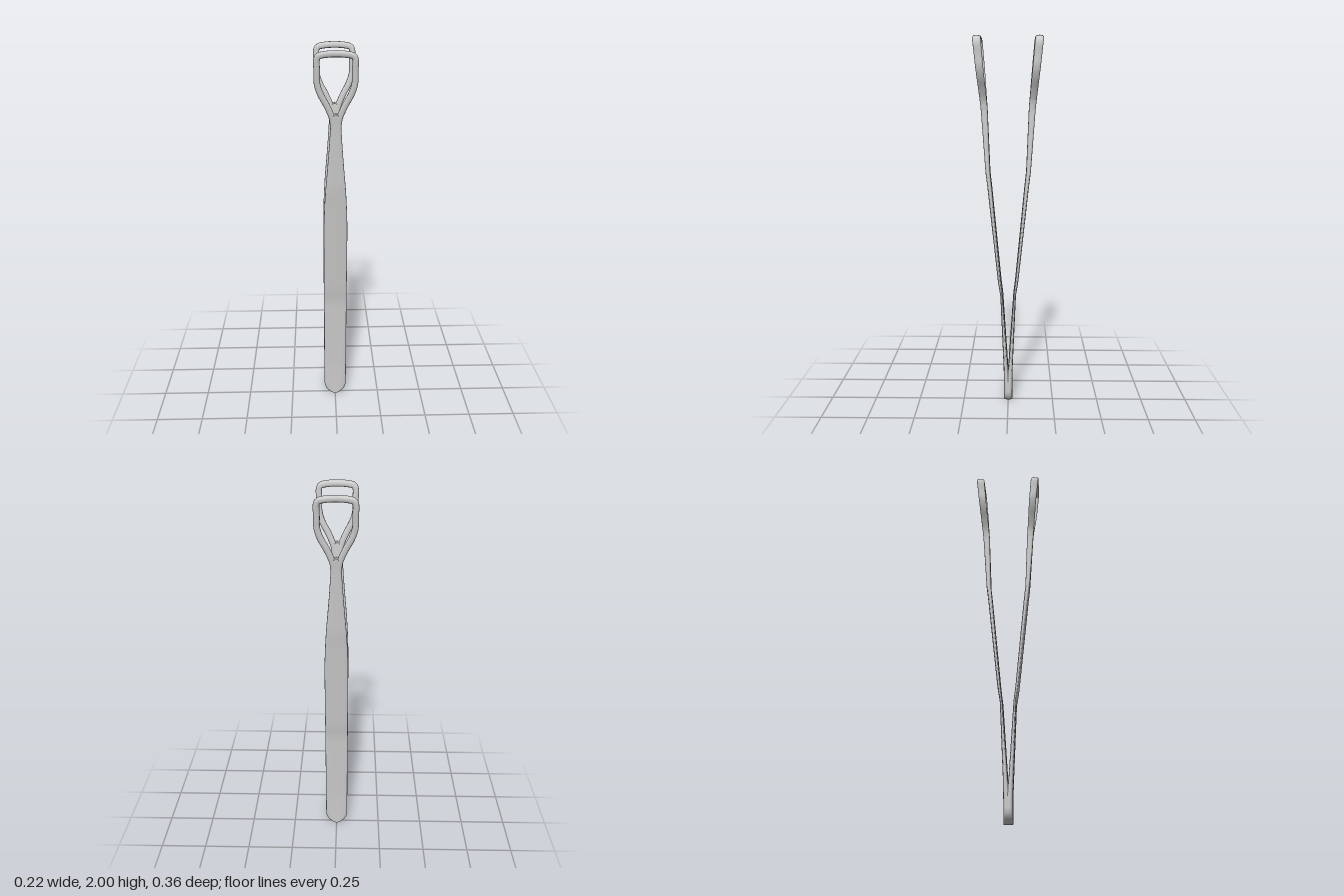
import * as THREE from 'three';

const material = new THREE.MeshStandardMaterial({ color: 0xcccccc, side: THREE.DoubleSide });

// Height, inner face z, outer face z of one splayed arm
const faces = [
  [0, -0.02, 0.024], [0.1, -0.014, 0.024], [0.19, 0, 0.025], [0.62, 0.028, 0.043], [0.69, 0.037, 0.055],
  [1.23, 0.088, 0.112], [1.29, 0.095, 0.12], [1.63, 0.108, 0.144], [2, 0.139, 0.183],
];

// Straight-line interpolation in a table keyed by its first column
function lookup(table, y, column) {
  let i = 1;
  while (i < table.length - 1 && table[i][0] < y) i++;
  const a = table[i - 1], b = table[i];
  const t = THREE.MathUtils.clamp((y - a[0]) / (b[0] - a[0]), 0, 1);
  return THREE.MathUtils.lerp(a[column], b[column], t);
}

// Sweep a rounded section along stations {x, y, dx, dy, w}; depth follows the arm faces
function sweep(name, stations, power, sides = 28) {
  const positions = [], index = [];
  const soft = (v) => Math.sign(v) * Math.abs(v) ** power;
  stations.forEach(({ x, y, dx, dy, w }, i) => {
    for (let j = 0; j < sides; j++) {
      const a = (j / sides) * Math.PI * 2;
      const s = soft(Math.cos(a)) * w;
      const py = y - dx * s;
      const zIn = lookup(faces, py, 1), zOut = lookup(faces, py, 2);
      positions.push(x + dy * s, py, (zIn + zOut) / 2 + soft(Math.sin(a)) * (zOut - zIn) / 2);
      if (i < stations.length - 1) {
        const k = (j + 1) % sides, p = i * sides, q = p + sides;
        index.push(p + j, q + j, p + k, q + j, q + k, p + k);
      }
    }
  });
  const geometry = new THREE.BufferGeometry();
  geometry.setAttribute('position', new THREE.Float32BufferAttribute(positions, 3));
  geometry.setIndex(index);
  geometry.computeVertexNormals();
  const mesh = new THREE.Mesh(geometry, material);
  mesh.name = name;
  return mesh;
}

// Flat blade: round foot, constant width, then a taper to the neck
function makeBlade() {
  const half = 0.0625, stations = [];
  const add = (y, w) => stations.push({ x: 0, y, dx: 0, dy: 1, w });
  for (let i = 0; i <= 10; i++) {
    const a = (i / 10) * Math.PI / 2;
    add(0.07 * (1 - Math.cos(a)), half * Math.sin(a));
  }
  const widths = [
    [0.07, half], [1.08, half], [1.2, 0.058], [1.3, 0.052], [1.4, 0.043],
    [1.5, 0.035], [1.62, 0.027], [1.66, 0.028], [1.682, 0.022], [1.694, 0],
  ];
  for (let i = 1; i < 40; i++) {
    const y = 0.07 + i * 0.0395;
    add(y, lookup(widths, y, 1));
  }
  for (const y of [1.63, 1.645, 1.66, 1.672, 1.682, 1.689, 1.694]) add(y, lookup(widths, y, 1));
  return sweep('blade', stations, 0.6);
}

// Open grip loop forking from the neck
function makeLoop() {
  const side = [[0.012, 1.62], [0.018, 1.67], [0.045, 1.735], [0.074, 1.79], [0.09, 1.84],
    [0.091, 1.9], [0.091, 1.96], [0.083, 1.973], [0.05, 1.981]];
  const points = [...side, [0, 1.984], ...side.map(([x, y]) => [-x, y]).reverse()];
  const curve = new THREE.CatmullRomCurve3(points.map(([x, y]) => new THREE.Vector3(x, y, 0)), false, 'centripetal');
  const stations = [];
  for (let i = 0; i <= 90; i++) {
    const p = curve.getPointAt(i / 90), d = curve.getTangentAt(i / 90);
    stations.push({ x: p.x, y: p.y, dx: d.x, dy: d.y, w: 0.0155 });
  }
  return sweep('gripLoop', stations, 0.7, 20);
}

export function createModel() {
  const model = new THREE.Group();
  model.name = 'tweezers';
  // Two identical arms, back to back, joined at the foot
  for (const [name, turn] of [['frontArm', 0], ['backArm', Math.PI]]) {
    const arm = new THREE.Group();
    arm.name = name;
    arm.add(makeBlade(), makeLoop());
    arm.rotation.y = turn;
    model.add(arm);
  }
  return model;
}
